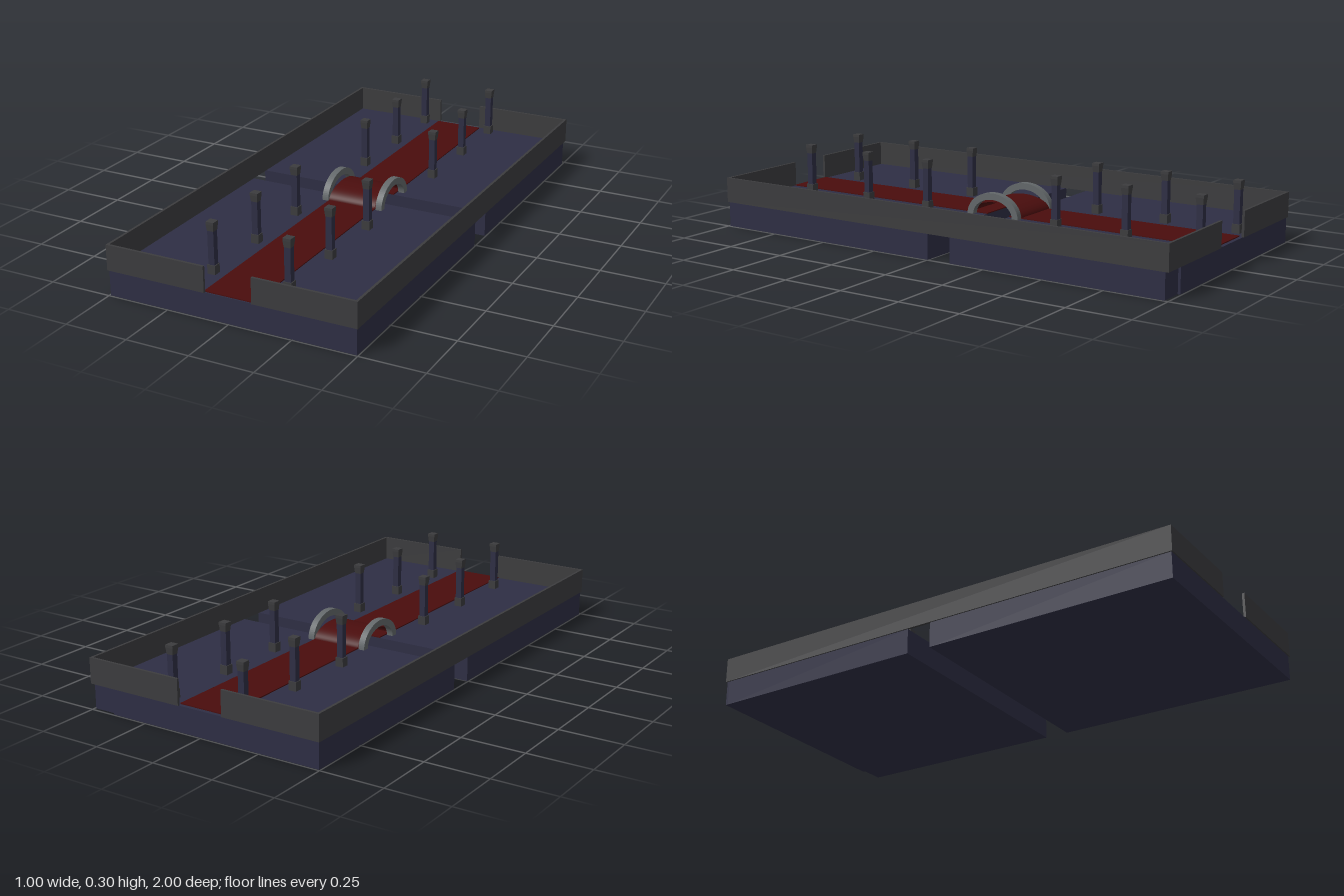
import * as THREE from 'three';

const mat = (name, color, side = THREE.FrontSide) => {
  const m = new THREE.MeshStandardMaterial({ color, side });
  m.name = name;
  return m;
};

export function createModel() {
  const model = new THREE.Group();
  const navy = mat('navy stone', 0x2e2e44);
  const charcoal = mat('charcoal', 0x3c3c3e);
  const red = mat('dark red', 0x4a0d0d, THREE.DoubleSide);
  const grey = mat('grey stone', 0x63686a);

  const add = (name, geometry, material, parent = model) => {
    const mesh = new THREE.Mesh(geometry, material);
    mesh.name = name;
    parent.add(mesh);
    return mesh;
  };
  // Box given by its lower and upper corners
  const box = (name, material, [x0, y0, z0], [x1, y1, z1], parent) =>
    add(name, new THREE.BoxGeometry(x1 - x0, y1 - y0, z1 - z0), material, parent)
      .position.set((x0 + x1) / 2, (y0 + y1) / 2, (z0 + z1) / 2);

  // Two floor slabs with a channel between them
  box('frontFloor', navy, [-0.495, 0, 0], [0.495, 0.1, 0.995]);
  box('backFloor', navy, [-0.495, 0, -0.985], [0.495, 0.1, -0.1]);
  box('backFloorEdge', navy, [-0.495, 0, -0.995], [0.4, 0.1, -0.985]);

  // Low walls, open in the middle of both ends
  for (const s of [-1, 1]) {
    box('sideWall', charcoal, [s * 0.495 - 0.005, 0.1, -1], [s * 0.495 + 0.005, 0.2, 1]);
    for (const e of [-1, 1]) {
      const x = [s * 0.095, s * 0.49].sort((a, b) => a - b);
      box('endWall', charcoal, [x[0], 0.1, e * 0.995 - 0.005], [x[1], 0.2, e * 0.995 + 0.005]);
    }
  }

  // Carpet on each slab
  box('frontCarpet', red, [-0.1, 0.1, 0], [0.1, 0.104, 0.99]);
  box('backCarpet', red, [-0.1, 0.1, -0.98], [0.1, 0.104, -0.1]);

  // Arched bridge over the channel, with a curved rail on each side
  const bridge = new THREE.Group();
  bridge.name = 'bridge';
  bridge.position.set(0, 0.1, -0.043);
  model.add(bridge);
  const deck = new THREE.CylinderGeometry(0.117, 0.117, 0.2, 32, 1, true, -Math.PI / 2, Math.PI);
  deck.rotateZ(Math.PI / 2).rotateX(0);
  // Lay the half cylinder so that its crown points up
  deck.computeBoundingBox();
  if (deck.boundingBox.max.y < 0.05) deck.rotateX(Math.PI);
  else if (deck.boundingBox.min.y < -0.05) deck.rotateX(-Math.PI / 2);
  deck.scale(1, 0.43, 1);
  add('bridgeDeck', deck, red, bridge);

  const arch = new THREE.Shape();
  arch.absellipse(0, 0, 0.117, 0.092, 0, Math.PI, false);
  arch.lineTo(-0.09, 0);
  arch.absellipse(0, 0, 0.09, 0.066, Math.PI, 0, true);
  for (const s of [-1, 1]) {
    const rail = new THREE.ExtrudeGeometry(arch, { depth: 0.026, bevelEnabled: false, curveSegments: 20 });
    rail.translate(0, 0, -0.013).rotateY(Math.PI / 2);
    add('bridgeRail', rail, grey, bridge).position.x = s * 0.117;
  }

  // Two rows of posts with square bases and flared caps
  const cap = new THREE.CylinderGeometry(0.0226, 0.0185, 0.025, 4).toNonIndexed();
  cap.rotateY(Math.PI / 4).computeVertexNormals();
  for (const x of [-0.152, 0.157]) {
    for (const z of [0.845, 0.545, 0.248, -0.348, -0.648, -0.947]) {
      const post = new THREE.Group();
      post.name = 'post';
      post.position.set(x, 0.1, z);
      box('postBase', charcoal, [-0.016, 0, -0.016], [0.016, 0.035, 0.016], post);
      box('postShaft', navy, [-0.0125, 0.035, -0.0125], [0.0125, 0.165, 0.0125], post);
      add('postNeck', cap, charcoal, post).position.y = 0.1775;
      box('postCap', charcoal, [-0.016, 0.19, -0.016], [0.016, 0.2, 0.016], post);
      model.add(post);
    }
  }
  return model;
}
